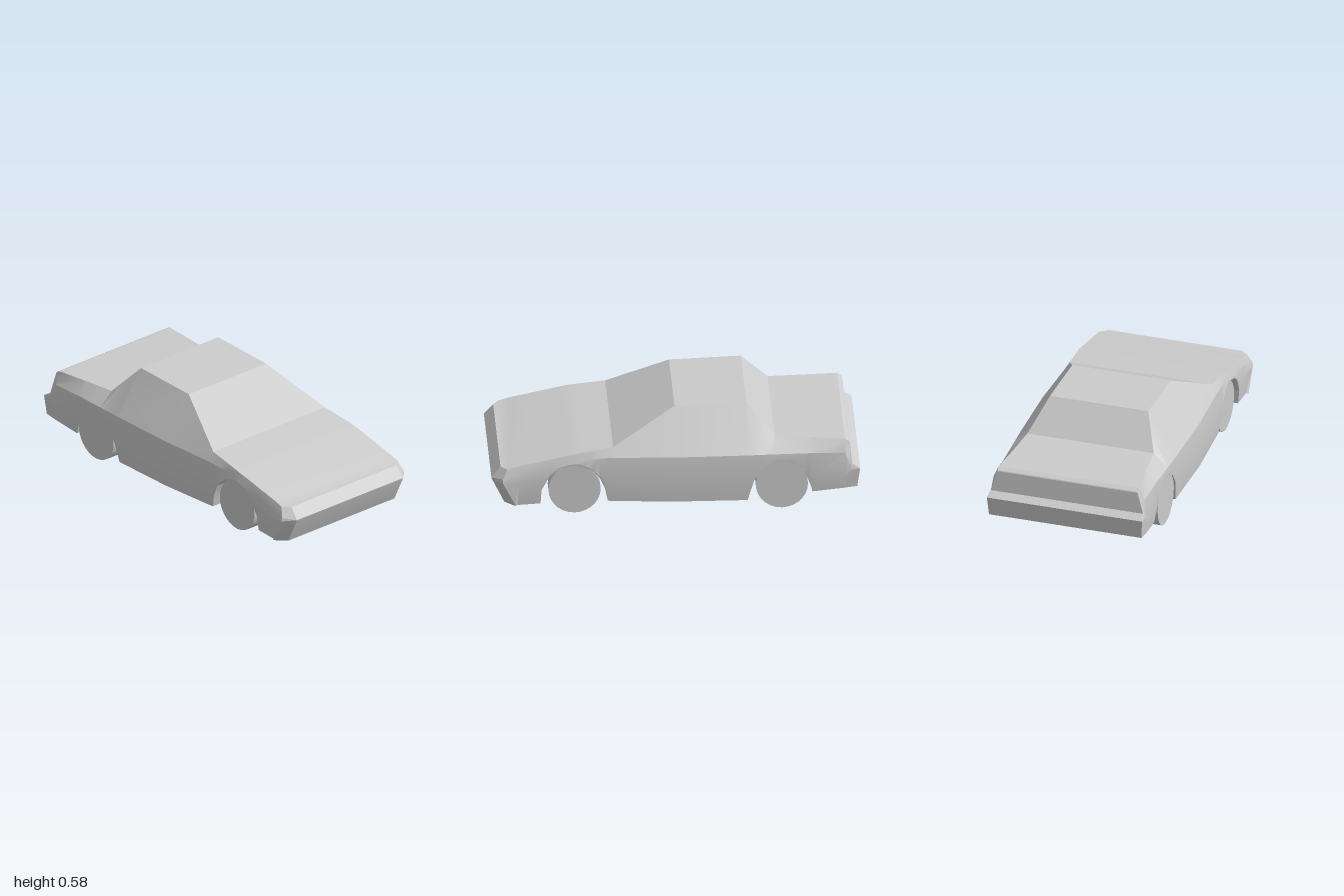
import * as THREE from 'three';
import { toCreasedNormals } from 'three/addons/utils/BufferGeometryUtils.js';

const material = new THREE.MeshStandardMaterial({ color: 0xcccccc, side: THREE.DoubleSide });

// Body outline keys, nose to tail: z, mid width, belt y, belt width, top y, top width
const keys = [
  [0.92, 0.445, 0.235, 0.437, 0.275, 0.42],
  [0.55, 0.437, 0.325, 0.43, 0.355, 0.42],
  [0.34, 0.448, 0.335, 0.435, 0.385, 0.405],
  [0.00, 0.462, 0.335, 0.45, 0.565, 0.28],
  [-0.39, 0.451, 0.335, 0.445, 0.578, 0.28],
  [-0.54, 0.444, 0.335, 0.44, 0.41, 0.36],
  [-0.70, 0.439, 0.335, 0.435, 0.406, 0.375],
  [-0.92, 0.445, 0.33, 0.43, 0.4, 0.4],
];

// Lower edge with the wheel arches: z, y
const lowerEdge = [
  [0.86, 0.06], [0.735, 0.065], [0.73, 0.15], [0.685, 0.235], [0.64, 0.272], [0.58, 0.29],
  [0.52, 0.29], [0.46, 0.265], [0.415, 0.22], [0.385, 0.15], [0.37, 0.075],
  [0.34, 0.073], [0, 0.067], [-0.39, 0.06],
  [-0.4, 0.1], [-0.425, 0.185], [-0.475, 0.255], [-0.54, 0.293], [-0.61, 0.293],
  [-0.67, 0.26], [-0.71, 0.2], [-0.735, 0.13], [-0.742, 0.1], [-0.92, 0.122],
];

function outlineAt(z) {
  let i = 0;
  while (i < keys.length - 2 && z < keys[i + 1][0]) i++;
  const a = keys[i], b = keys[i + 1];
  const t = THREE.MathUtils.clamp((a[0] - z) / (a[0] - b[0]), 0, 1);
  return a.map((v, k) => v + (b[k] - v) * t);
}

// Left half of a cross-section from sill to roof, as [x, y, z]
function section([z, yb]) {
  const [, wm, yBelt, wBelt, yt, wt] = outlineAt(z);
  const ym = Math.min(Math.max(0.2, yb + 0.01), yBelt - 0.005);
  const wb = wm - 0.015 * THREE.MathUtils.clamp((ym - yb) / 0.14, 0, 1);
  return [[wb, yb, z], [wm, ym, z], [wBelt, yBelt, z], [wt, yt, z]];
}

// Lofts half sections into a closed symmetrical shell
function loft(halves) {
  const pos = [], n = halves[0].length, m = 2 * n;
  const rings = halves.map(h => [...h, ...h.map(([x, y, z]) => [-x, y, z]).reverse()]);
  const quad = (a, b, c, d) => pos.push(...a, ...b, ...c, ...a, ...c, ...d);
  for (let i = 0; i < rings.length - 1; i++) {
    const r = rings[i], s = rings[i + 1];
    for (let j = 0; j < m; j++) {
      const k = (j + 1) % m;
      quad(r[j], s[j], s[k], r[k]);
    }
  }
  const f = rings[0], e = rings[rings.length - 1];
  for (let k = 0; k < n - 1; k++) {
    quad(f[k], f[k + 1], f[m - 2 - k], f[m - 1 - k]);
    quad(e[k], e[m - 1 - k], e[m - 2 - k], e[k + 1]);
  }
  const g = new THREE.BufferGeometry();
  g.setAttribute('position', new THREE.Float32BufferAttribute(pos, 3));
  return toCreasedNormals(g, 0.3);
}

export function createModel() {
  const car = new THREE.Group();
  car.name = 'car';

  // Slanted nose with chamfered corners, and a tail with a projecting bumper
  const nose = [
    [[0.385, 0.06, 0.93], [0.385, 0.2, 0.997], [0.385, 0.21, 1], [0.38, 0.27, 0.95]],
    [[0.443, 0.06, 0.87], [0.446, 0.2, 0.94], [0.44, 0.22, 0.94], [0.42, 0.272, 0.915]],
  ];
  const tail = [
    [[0.435, 0.125, -0.95], [0.445, 0.235, -0.953], [0.435, 0.27, -0.945], [0.4, 0.387, -0.943]],
    [[0.435, 0.13, -0.985], [0.442, 0.24, -1], [0.435, 0.265, -0.957], [0.4, 0.382, -0.946]],
  ];
  const stations = [...lowerEdge, [0.55, 0.291], [-0.7, 0.22]].sort((a, b) => b[0] - a[0]);
  const body = new THREE.Mesh(loft([...nose, ...stations.map(section), ...tail]), material);
  body.name = 'body';
  car.add(body);

  // Wheels: name, z, axle height, inner x, outer x
  const axles = [['front', 0.55, 0.143, 0.342, 0.418], ['rear', -0.575, 0.155, 0.342, 0.44]];
  for (const [name, z, y, inner, outer] of axles) {
    const geometry = new THREE.CylinderGeometry(0.142, 0.142, outer - inner, 28).rotateZ(Math.PI / 2);
    for (const side of [1, -1]) {
      const wheel = new THREE.Mesh(geometry, material);
      wheel.name = name + (side > 0 ? 'Left' : 'Right') + 'Wheel';
      wheel.position.set(side * (inner + outer) / 2, y, z);
      car.add(wheel);
    }
  }
  return car;
}
